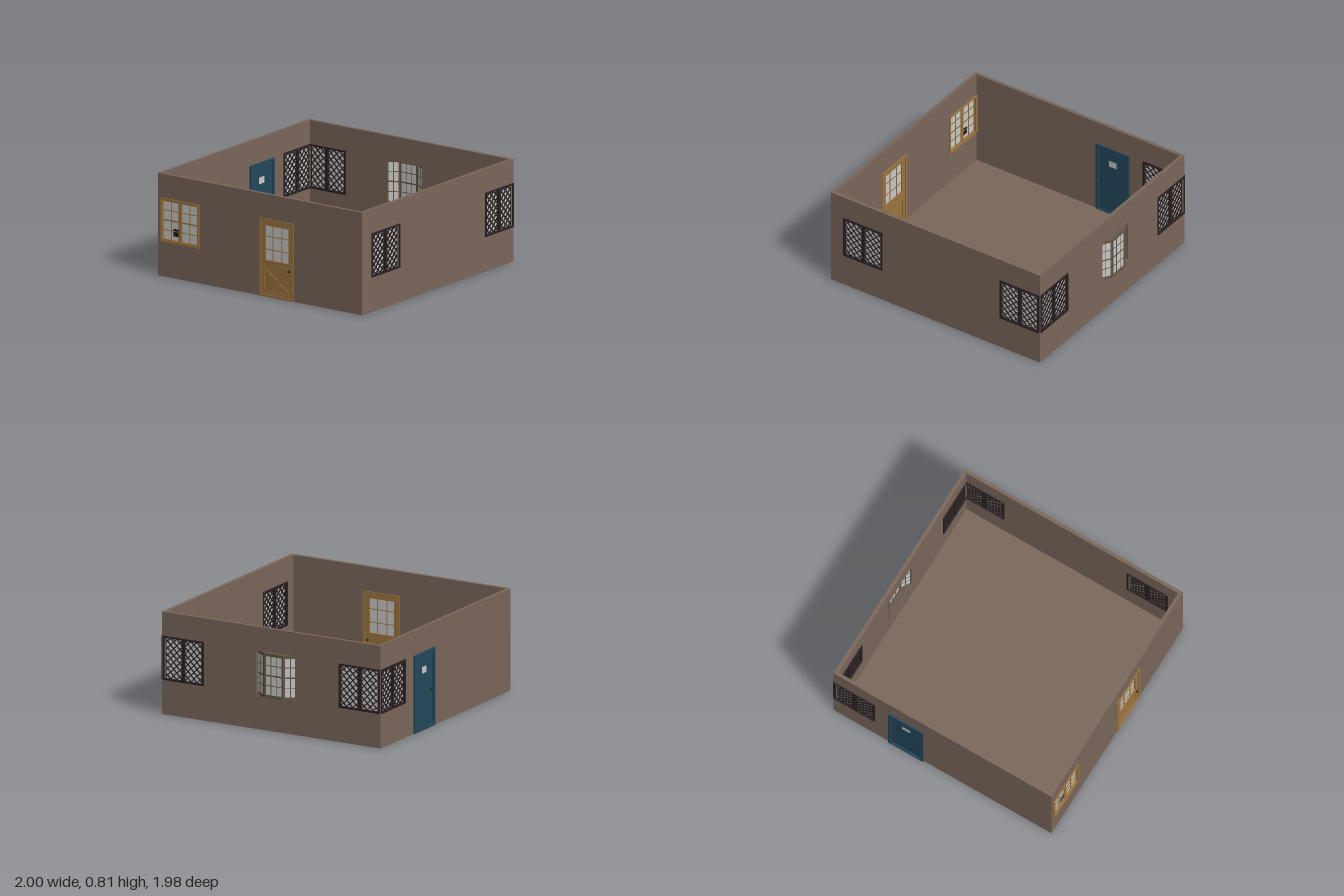
import * as THREE from 'three';

const mat = (name, color) => {
  const m = new THREE.MeshStandardMaterial({ color });
  m.name = name;
  return m;
};
const M = {
  wall: mat('brown plaster', 0x7b675b),
  lattice: mat('dark lattice', 0x2a2021),
  glass: mat('pale glass', 0xcacaca),
  bay: mat('taupe bay trim', 0x665847),
  wood: mat('honey wood', 0x9c7540),
  blue: mat('blue paint', 0x23485c),
  metal: mat('dark metal', 0x17191c),
};

const H = 0.815, T = 0.027, MID = -T / 2;
const X0 = -0.985, X1 = 0.965, Z0 = -0.972, Z1 = 0.98;

function group(parent, name, x = 0, y = 0, z = 0, ry = 0) {
  const g = new THREE.Group();
  g.name = name;
  g.position.set(x, y, z);
  g.rotation.y = ry;
  parent.add(g);
  return g;
}

function box(parent, name, material, w, h, d, x = 0, y = 0, z = 0, rz = 0) {
  const m = new THREE.Mesh(new THREE.BoxGeometry(w, h, d), material);
  m.name = name;
  m.position.set(x, y, z);
  m.rotation.z = rz;
  parent.add(m);
  return m;
}

// Four bars around a w x h opening, measured to the outside
function frame(g, material, w, h, bar, depth) {
  for (const s of [-1, 1]) {
    box(g, 'frameSide', material, bar, h, depth, s * (w - bar) / 2);
    box(g, 'frameRail', material, w, bar, depth, 0, s * (h - bar) / 2);
  }
}

// Frame, glass and a grid of glazing bars
function sash(g, material, w, h, cols, rows, bar, depth) {
  frame(g, material, w, h, bar, depth);
  box(g, 'glass', M.glass, w - bar, h - bar, 0.004);
  for (let i = 1; i < cols; i++)
    box(g, 'glazingBar', material, 0.006, h - bar, depth * 0.6, (i / cols - 0.5) * (w - bar));
  for (let j = 1; j < rows; j++) {
    const middle = rows % 2 === 0 && j === rows / 2;
    box(g, 'glazingBar', material, w - bar, middle ? 0.011 : 0.006, depth * 0.55, 0, (j / rows - 0.5) * (h - bar));
  }
}

// Diagonal bars clipped to a rectangle of half size a x b
function diagonals(g, a, b, pitch) {
  const n = Math.ceil((a + b) / pitch);
  for (const s of [-1, 1])
    for (let k = -n; k <= n; k++) {
      const c = (k + 0.5) * pitch;
      const y0 = Math.max(-b, -a - c), y1 = Math.min(b, a - c);
      if (y1 - y0 < 0.004) continue;
      const y = (y0 + y1) / 2;
      box(g, 'latticeBar', M.lattice, 0.0065, (y1 - y0) * Math.SQRT2, 0.024 + s * 0.001, s * (c + y), y, 0, -s * Math.PI / 4);
    }
}

// Pair of casements with diamond lattice
function latticeWindow(wall, u) {
  const g = group(wall, 'latticeWindow', u, 0.45, MID);
  const w = 0.365, h = 0.35;
  frame(g, M.lattice, w, h, 0.014, 0.044);
  box(g, 'mullion', M.lattice, 0.026, h, 0.04);
  box(g, 'glass', M.glass, w - 0.014, h - 0.014, 0.005);
  for (const s of [-1, 1]) {
    const p = group(g, 'casement', s * 0.0905, 0, 0);
    diagonals(p, 0.078, 0.162, 0.054);
  }
}

// Wall with rectangular holes [u0, u1, y0, y1]; outer face at local z = 0
function makeWall(parent, name, x, z, ry, u0, u1, holes) {
  const g = group(parent, name, x, 0, z, ry);
  const rect = (S, a, b, c, d) => new S([[a, c], [b, c], [b, d], [a, d]].map(p => new THREE.Vector2(...p)));
  const shape = rect(THREE.Shape, u0, u1, 0, H);
  for (const h of holes) shape.holes.push(rect(THREE.Path, ...h));
  const geo = new THREE.ExtrudeGeometry(shape, { depth: T, bevelEnabled: false });
  geo.translate(0, 0, -T);
  const m = new THREE.Mesh(geo, M.wall);
  m.name = name + 'Panel';
  g.add(m);
  return g;
}

// Round knobs on both sides of a door
function knobs(g, x, y) {
  for (const s of [-1, 1]) {
    const k = new THREE.Mesh(new THREE.SphereGeometry(0.009, 12, 8), M.metal);
    k.name = 'doorKnob';
    k.position.set(x, y, s * 0.022);
    g.add(k);
  }
}

function bayWindow(wall, u) {
  const g = group(wall, 'bayWindow', u, 0.448, 0);
  const a = 0.175, b = 0.085, back = -0.024, front = 0.03, h = 0.355;
  const centre = group(g, 'baySashCentre', 0, 0, front - 0.004);
  sash(centre, M.bay, 2 * b, h - 0.02, 3, 4, 0.014, 0.014);
  const len = Math.hypot(a - b, front - back), angle = Math.atan2(front - back, a - b);
  for (const s of [-1, 1]) {
    const side = group(g, 'baySashSide', s * (a + b) / 2, 0, (front + back) / 2 - 0.003, s * angle);
    sash(side, M.bay, len, h - 0.02, 2, 4, 0.013, 0.012);
    // Sill and head boards
    const shape = new THREE.Shape([[-a, back], [a, back], [b, front + 0.006], [-b, front + 0.006]].map(p => new THREE.Vector2(...p)));
    const geo = new THREE.ExtrudeGeometry(shape, { depth: 0.012, bevelEnabled: false });
    geo.rotateX(Math.PI / 2);
    geo.scale(1, 1, 1);
    const board = new THREE.Mesh(geo, M.bay);
    board.name = s > 0 ? 'bayHead' : 'baySill';
    board.position.y = s * (h / 2 - 0.006) + 0.006;
    g.add(board);
  }
}

function blueDoor(wall, u) {
  const g = group(wall, 'blueDoor', u, 0.31, MID);
  const w = 0.31, h = 0.62;
  frame(g, M.blue, w, h, 0.022, 0.05);
  box(g, 'doorLeaf', M.blue, w - 0.02, h - 0.02, 0.024);
  box(g, 'doorWindow', M.glass, 0.075, 0.055, 0.03, 0, 0.165);
  const trim = group(g, 'doorWindowTrim', 0, 0.165, 0);
  frame(trim, M.blue, 0.09, 0.07, 0.008, 0.034);
  knobs(g, 0.1, -0.01);
}

function woodDoor(wall, u) {
  const g = group(wall, 'woodDoor', u, 0.31, MID);
  const w = 0.33, h = 0.62;
  frame(g, M.wood, w, h, 0.018, 0.042);
  const top = group(g, 'glazedUpperLeaf', 0, 0.118, 0);
  sash(top, M.wood, w - 0.03, 0.355, 3, 3, 0.04, 0.026);
  const low = group(g, 'bracedLowerLeaf', 0, -0.18, 0);
  box(low, 'lowerPanel', M.wood, w - 0.03, 0.24, 0.012);
  frame(low, M.wood, w - 0.03, 0.24, 0.03, 0.026);
  for (const s of [-1, 1])
    box(low, 'crossBrace', M.wood, 0.02, 0.3, 0.022 + s * 0.001, 0, 0, 0, s * Math.atan2(0.24, 0.18));
  knobs(g, 0.12, -0.075);
}

function woodWindow(wall, u) {
  const g = group(wall, 'woodWindow', u, 0.45, MID);
  const w = 0.37, h = 0.35;
  frame(g, M.wood, w, h, 0.016, 0.044);
  for (const s of [-1, 1]) {
    const p = group(g, 'woodSash', s * 0.0875, 0, 0);
    sash(p, M.wood, 0.175, h - 0.02, 2, 4, 0.014, 0.026);
  }
  box(g, 'darkPane', M.metal, 0.055, 0.06, 0.009, -0.04, -0.09, 0);
}

export function createModel() {
  const room = new THREE.Group();
  room.name = 'room';

  // Floor slab
  box(room, 'floor', M.wall, X1 - X0, 0.012, Z1 - Z0, (X0 + X1) / 2, 0.006, (Z0 + Z1) / 2);

  const lat = u => [u - 0.172, u + 0.155, 0.285, 0.615];
  const latL = u => [u - 0.155, u + 0.172, 0.285, 0.615];

  // Front wall: two lattice windows
  const front = makeWall(room, 'frontWall', 0, Z1, 0, X0, X1, [lat(-0.683), lat(0.778)]);
  latticeWindow(front, -0.683);
  latticeWindow(front, 0.778);

  // Right-hand wall in +x: local u runs along -z
  const side = makeWall(room, 'bayWall', X1, 0, Math.PI / 2, -Z1 + T, -Z0 - T,
    [latL(-0.788), lat(0.785), [-0.135, 0.209, 0.275, 0.62]]);
  latticeWindow(side, -0.788);
  latticeWindow(side, 0.785);
  bayWindow(side, 0.037);

  // Back wall: local u runs along -x
  const back = makeWall(room, 'backWall', 0, Z0, Math.PI, -X1, -X0,
    [latL(-0.778), [-0.46, -0.17, 0.004, 0.61]]);
  latticeWindow(back, -0.778);
  blueDoor(back, -0.315);

  // Wall in -x: local u runs along +z
  const far = makeWall(room, 'woodDoorWall', X0, 0, -Math.PI / 2, Z0 + T, Z1 - T,
    [[-0.935, -0.585, 0.285, 0.615], [0.01, 0.32, 0.004, 0.61]]);
  woodWindow(far, -0.76);
  woodDoor(far, 0.165);

  return room;
}
